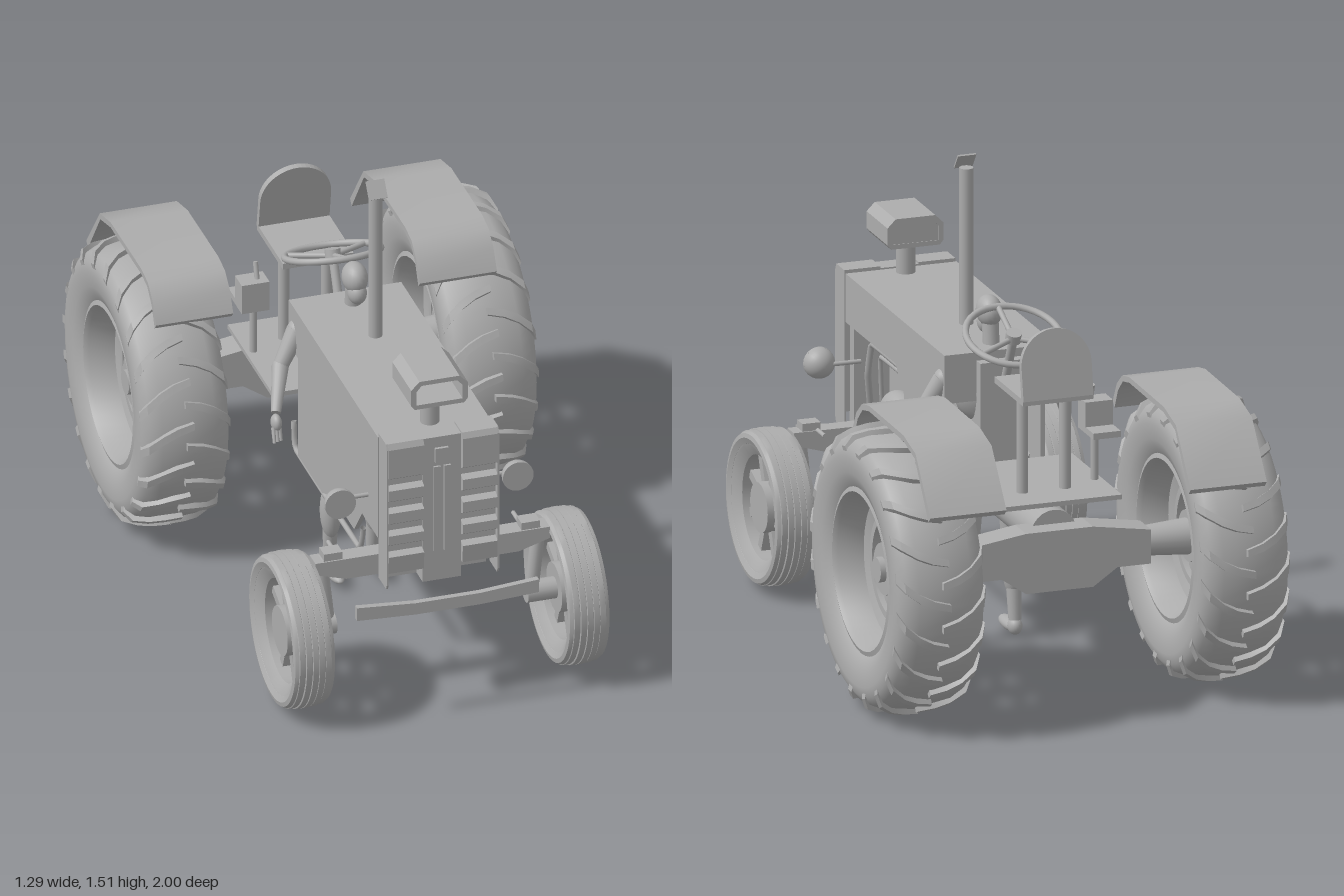
import * as THREE from 'three';
import { toCreasedNormals } from 'three/addons/utils/BufferGeometryUtils.js';

const V = (x, y, z) => new THREE.Vector3(x, y, z);
const grey = new THREE.MeshStandardMaterial({ color: 0xacacac, side: THREE.DoubleSide });
grey.name = 'grey';

function add(parent, name, geo, x = 0, y = 0, z = 0, rx = 0, ry = 0, rz = 0) {
  const m = new THREE.Mesh(geo, grey);
  m.name = name;
  m.position.set(x, y, z);
  m.rotation.set(rx, ry, rz);
  parent.add(m);
  return m;
}
// box given by its ranges
const box = (p, name, x0, x1, y0, y1, z0, z1) =>
  add(p, name, new THREE.BoxGeometry(x1 - x0, y1 - y0, z1 - z0), (x0 + x1) / 2, (y0 + y1) / 2, (z0 + z1) / 2);
// round bar from a to b, radius ra to rb
function bar(p, name, a, b, ra, rb = ra, n = 16) {
  const d = b.clone().sub(a);
  const m = add(p, name, new THREE.CylinderGeometry(rb, ra, d.length(), n), ...a.clone().add(b).multiplyScalar(0.5));
  m.quaternion.setFromUnitVectors(V(0, 1, 0), d.normalize());
  return m;
}
function ball(p, name, x, y, z, rx, ry = rx, rz = rx) {
  const m = add(p, name, new THREE.SphereGeometry(1, 20, 14), x, y, z);
  m.scale.set(rx, ry, rz);
  return m;
}
const shape = pts => new THREE.Shape(pts.map(q => new THREE.Vector2(...q)));
// side profile of [z, y] points, extruded from x0 to x1; bends under the crease angle are smoothed
function profile(p, name, pts, x0, x1, crease = 0.2) {
  const g = new THREE.ExtrudeGeometry(shape(pts), { depth: x1 - x0, bevelEnabled: false });
  return add(p, name, toCreasedNormals(g.rotateY(-Math.PI / 2).translate(x1, 0, 0), crease));
}
// [radius, x] points turned around the x axis
function turned(p, name, pts, n = 48) {
  const g = new THREE.LatheGeometry(pts.map(q => new THREE.Vector2(...q)), n).rotateZ(-Math.PI / 2);
  return add(p, name, toCreasedNormals(g, 0.6));
}
const pipe = (p, name, pts, r) =>
  add(p, name, new THREE.TubeGeometry(new THREE.CatmullRomCurve3(pts.map(q => V(...q)), false, 'catmullrom', 0.1), 32, r, 8));

// curved tread lug: rectangular section swept from the tread centre to the shoulder
function lugGeometry(s) {
  const path = [[-0.012, 0.438, 0], [0.04, 0.436, 0.03], [0.085, 0.429, 0.08], [0.122, 0.412, 0.16], [0.14, 0.39, 0.23]];
  const pos = [], idx = [];
  path.forEach(([x, r, a], i) => {
    const w = 0.03 + 0.004 * i, top = r + (i === 4 ? 0.004 : 0.018), ox = i > 2 ? 0.006 : 0;
    for (const [rr, aa, xx] of [[r - 0.02, a - w, x], [top, a - w * 0.8, x + ox], [top, a + w * 0.8, x + ox], [r - 0.02, a + w, x]])
      pos.push(s * xx, rr * Math.cos(aa), rr * Math.sin(aa));
    if (i) for (let k = 0; k < 4; k++) {
      const a0 = (i - 1) * 4 + k, a1 = (i - 1) * 4 + (k + 1) % 4;
      idx.push(...(s > 0 ? [a0, a0 + 4, a1, a1, a0 + 4, a1 + 4] : [a0, a1, a0 + 4, a1, a1 + 4, a0 + 4]));
    }
  });
  const e = 16;
  idx.push(...(s > 0 ? [e, e + 2, e + 1, e, e + 3, e + 2, 0, 1, 2, 0, 2, 3] : [e, e + 1, e + 2, e, e + 2, e + 3, 0, 2, 1, 0, 3, 2]));
  const g = new THREE.BufferGeometry();
  g.setAttribute('position', new THREE.Float32BufferAttribute(pos, 3));
  g.setIndex(idx);
  return toCreasedNormals(g, 0.5);
}
function spokes(p, n, r0, r1, w, t) {
  for (let i = 0; i < n; i++) {
    const a = (i + 0.5) / n * Math.PI * 2, r = (r0 + r1) / 2;
    add(p, 'spoke', new THREE.BoxGeometry(t, r1 - r0, w), 0, r * Math.cos(a), r * Math.sin(a), a);
  }
}
function rearWheel() {
  const g = new THREE.Group();
  g.name = 'rearWheel';
  turned(g, 'rearTyre', [[0.255, -0.11], [0.27, -0.125], [0.31, -0.139], [0.36, -0.145], [0.39, -0.14], [0.415, -0.122], [0.432, -0.085], [0.44, 0],
    [0.432, 0.085], [0.415, 0.122], [0.39, 0.14], [0.36, 0.145], [0.31, 0.139], [0.27, 0.125], [0.255, 0.11]], 64);
  turned(g, 'rearRim', [[0.265, -0.12], [0.25, -0.125], [0.24, -0.11], [0.225, -0.03], [0.18, -0.015], [0.172, -0.03], [0.15, -0.03],
    [0.15, 0.03], [0.172, 0.03], [0.18, 0.015], [0.225, 0.03], [0.24, 0.11], [0.25, 0.125], [0.265, 0.12]]);
  spokes(g, 6, 0.06, 0.16, 0.03, 0.025);
  bar(g, 'rearHub', V(-0.05, 0, 0), V(0.05, 0, 0), 0.082, 0.082, 24);
  bar(g, 'hubCap', V(-0.07, 0, 0), V(0.07, 0, 0), 0.04);
  const n = 20;
  for (const s of [1, -1]) {
    const lug = lugGeometry(s);
    for (let i = 0; i < n; i++) add(g, 'treadLug', lug, 0, 0, 0, (i + (s > 0 ? 0 : 0.5)) / n * Math.PI * 2);
  }
  return g;
}
function frontWheel() {
  const g = new THREE.Group();
  g.name = 'frontWheel';
  const tread = [];
  for (let i = -2; i <= 2; i++) {
    const x = i * 0.021, r = 0.247 - 0.0012 * i * i;
    tread.push([r - 0.003, x - 0.0105], [r, x - 0.009], [r, x + 0.009], [r - 0.003, x + 0.0105]);
  }
  turned(g, 'frontTyre', [[0.195, -0.045], [0.202, -0.058], [0.22, -0.067], [0.234, -0.064], ...tread,
    [0.234, 0.064], [0.22, 0.067], [0.202, 0.058], [0.195, 0.045]]);
  turned(g, 'frontRim', [[0.203, -0.058], [0.197, -0.056], [0.165, -0.035], [0.165, 0.035], [0.197, 0.056], [0.203, 0.058]]);
  spokes(g, 8, 0.06, 0.17, 0.03, 0.03);
  bar(g, 'frontHub', V(-0.04, 0, 0), V(0.04, 0, 0), 0.08, 0.08, 24);
  return g;
}

function body(t) {
  const c = -0.016;
  box(t, 'hood', -0.2, 0.165, 0.8, 0.957, -0.04, 0.86);
  profile(t, 'leftPanel', [[0.055, 0.455], [0.3, 0.455], [0.33, 0.74], [0.37, 0.76], [0.4, 0.8], [0.055, 0.8]], 0.15, 0.165);
  profile(t, 'rightPanel', [[0.055, 0.455], [0.3, 0.455], [0.4, 0.5], [0.62, 0.5], [0.7, 0.6], [0.86, 0.6], [0.86, 0.8], [0.055, 0.8]], -0.2, -0.185);
  box(t, 'engineBlock', -0.11, 0.07, 0.45, 0.8, 0.1, 0.72);
  box(t, 'oilPan', -0.08, 0.05, 0.41, 0.45, 0.2, 0.7);
  box(t, 'dashboard', -0.09, 0.06, 0.6, 0.93, -0.075, 0.02);
  bar(t, 'gearbox', V(c, 0.51, 0.12), V(c, 0.51, -0.53), 0.075, 0.075, 24);
  // grille: two louvred columns with plain outer plates and a centre strip
  const louvre = [[0.855, 0.51], [0.935, 0.51]];
  for (const y of [0.59, 0.665, 0.745, 0.825])
    louvre.push([0.94, y - 0.02], [0.915, y - 0.012], [0.915, y + 0.008], [0.94, y + 0.024]);
  louvre.push([0.94, 0.95], [0.93, 0.968], [0.855, 0.968]);
  const plate = [[0.855, 0.455], [0.93, 0.455], [0.937, 0.47], [0.937, 0.95], [0.928, 0.968], [0.855, 0.968]];
  profile(t, 'grilleColumn', louvre, -0.19, -0.075);
  profile(t, 'grilleColumn', louvre, 0.05, 0.163);
  profile(t, 'grilleSide', plate, -0.196, -0.19);
  profile(t, 'grilleSide', plate, 0.163, 0.169);
  box(t, 'grilleCentre', -0.075, 0.05, 0.455, 0.962, 0.855, 0.922);
  box(t, 'radiator', -0.18, 0.15, 0.455, 0.8, 0.82, 0.86);
  for (const x of [-0.029, 0.004]) box(t, 'grilleSlat', x - 0.011, x + 0.011, 0.56, 0.86, 0.92, 0.929);
  box(t, 'grillePlate', -0.036, 0.007, 0.875, 0.925, 0.92, 0.932);
  // air intake hood, open at the front
  bar(t, 'intakeNeck', V(c, 0.95, 0.81), V(c, 1.07, 0.81), 0.03);
  const s = shape([[-0.08, 0], [0.08, 0], [0.092, 0.015], [0.092, 0.07], [0.065, 0.097], [-0.065, 0.097], [-0.092, 0.07], [-0.092, 0.015]]);
  s.holes.push(new THREE.Path([[-0.075, 0.015], [0.075, 0.015], [0.075, 0.062], [0.058, 0.082], [-0.058, 0.082], [-0.075, 0.062]].map(q => new THREE.Vector2(...q))));
  add(t, 'airIntake', new THREE.ExtrudeGeometry(s, { depth: 0.19, bevelEnabled: false }), c, 1.063, 0.72);
  box(t, 'intakeBack', c - 0.077, c + 0.077, 1.075, 1.147, 0.722, 0.74);
  // exhaust stack and its flap
  bar(t, 'exhaustStack', V(-0.012, 0.95, 0.25), V(-0.012, 1.462, 0.25), 0.022);
  add(t, 'exhaustFlap', new THREE.BoxGeometry(0.06, 0.006, 0.06), -0.012, 1.48, 0.262, 0.95);
  // engine fittings on the open left side
  ball(t, 'filterTank', 0.1, 0.59, 0.535, 0.06, 0.072, 0.105);
  bar(t, 'starter', V(0.1, 0.48, 0.46), V(0.1, 0.48, 0.6), 0.032);
  bar(t, 'oilFilter', V(0.1, 0.55, 0.37), V(0.1, 0.75, 0.37), 0.03);
  pipe(t, 'fuelPipe', [[0.1, 0.5, 0.8], [0.13, 0.66, 0.75], [0.13, 0.77, 0.71], [0.13, 0.77, 0.41], [0.13, 0.7, 0.38], [0.11, 0.5, 0.33]], 0.011);
  pipe(t, 'fuelPipe', [[0.1, 0.55, 0.7], [0.12, 0.74, 0.66], [0.12, 0.74, 0.36], [0.11, 0.6, 0.32]], 0.008);
  for (const x of [-0.17, 0.14])
    pipe(t, 'lowerRail', [[x, 0.5, 0.62], [x, 0.41, 0.58], [x, 0.41, -0.06], [x, 0.5, -0.08]], 0.009);
}

function driverStation(t) {
  box(t, 'deck', -0.24, 0.2, 0.595, 0.61, -0.53, -0.08);
  box(t, 'seatPan', -0.145, 0.085, 0.93, 0.95, -0.53, -0.27);
  const s = new THREE.Shape();
  s.moveTo(-0.115, 0);
  s.lineTo(0.115, 0);
  s.lineTo(0.115, 0.105);
  s.absarc(0, 0.105, 0.115, 0, Math.PI);
  add(t, 'seatBack', new THREE.ExtrudeGeometry(s, { depth: 0.02, bevelEnabled: false }), -0.03, 0.945, -0.535, 0.17);
  for (const x of [-0.1, 0.04]) bar(t, 'seatPost', V(x, 0.6, -0.4), V(x, 0.935, -0.4), 0.018);
  box(t, 'controlBox', -0.265, -0.175, 0.77, 0.87, -0.38, -0.31);
  box(t, 'controlBox', -0.265, -0.175, 0.77, 0.79, -0.45, -0.38);
  bar(t, 'controlPost', V(-0.215, 0.6, -0.35), V(-0.215, 0.78, -0.35), 0.012);
  bar(t, 'controlLever', V(-0.205, 0.86, -0.34), V(-0.205, 0.92, -0.36), 0.008);
  // steering wheel
  const w = new THREE.Group();
  w.name = 'steeringWheel';
  w.position.set(-0.022, 1.035, -0.15);
  w.rotation.x = -0.36;
  add(w, 'steeringRim', new THREE.TorusGeometry(0.15, 0.011, 10, 40).rotateX(Math.PI / 2));
  for (let i = 0; i < 3; i++) {
    const a = i * Math.PI * 2 / 3;
    bar(w, 'steeringSpoke', V(0, -0.01, 0), V(0.148 * Math.sin(a), 0, 0.148 * Math.cos(a)), 0.009);
  }
  bar(w, 'steeringHub', V(0, -0.02, 0), V(0, 0.012, 0), 0.025);
  t.add(w);
  bar(t, 'steeringColumn', V(-0.022, 1.03, -0.15), V(-0.022, 0.75, -0.02), 0.014);
}

function runningGear(t) {
  for (const s of [-1, 1]) {
    const r = rearWheel(), f = frontWheel();
    r.position.set(s * 0.5, 0.457, -0.54);
    f.position.set(s * 0.445, 0.263, 0.757);
    t.add(r, f);
    // curved plate fender
    const outer = [[-0.24, 0.82], [-0.275, 0.885], [-0.325, 0.927], [-0.39, 0.94], [-0.7, 0.937], [-0.81, 0.91], [-0.945, 0.74]];
    const inner = outer.map(([z, y], i) => [z + [-0.016, -0.012, -0.006, 0, 0, 0.006, 0.017][i], y - 0.018]).reverse();
    profile(t, 'fender', [...outer, ...inner], s * 0.4275 - 0.0125 - 0.125, s * 0.4275 - 0.0125 + 0.125, 0.8);
    bar(t, 'rearAxleShaft', V(s * 0.28, 0.457, -0.54), V(s * 0.48, 0.457, -0.54), 0.045, 0.06);
    // front steering knuckle
    bar(t, 'kingpin', V(s * 0.355, 0.5, 0.76), V(s * 0.33, 0.27, 0.76), 0.022);
    bar(t, 'frontSpindle', V(s * 0.31, 0.265, 0.76), V(s * 0.42, 0.265, 0.76), 0.035);
    add(t, 'knuckleCap', new THREE.BoxGeometry(0.06, 0.05, 0.05), s * 0.32, 0.5, 0.76);
    bar(t, 'steeringArm', V(s * 0.3, 0.5, 0.76), V(s * 0.3, 0.5, 0.67), 0.007);
    // headlight with domed back
    const x = s * 0.288 - 0.012;
    add(t, 'headlight', new THREE.SphereGeometry(0.05, 24, 10, 0, Math.PI * 2, 0, Math.PI / 2).rotateX(-Math.PI / 2), x, 0.7, 0.79);
    add(t, 'headlightGlass', new THREE.CylinderGeometry(0.05, 0.05, 0.008, 24).rotateX(Math.PI / 2), x, 0.7, 0.792);
    bar(t, 'headlightBracket', V(x, 0.7, 0.76), V(s * 0.15, 0.7, 0.76), 0.007);
  }
  // front axle beam
  const beam = [[-0.38, 0.5], [-0.38, 0.46], [-0.28, 0.43], [0.28, 0.43], [0.38, 0.46], [0.38, 0.5]];
  add(t, 'frontAxle', new THREE.ExtrudeGeometry(shape(beam), { depth: 0.06, bevelEnabled: false }), 0, 0, 0.73);
  // bumper bar
  const bumper = [[-0.31, 0.44], [-0.31, 0.395], [-0.12, 0.385], [0.09, 0.385], [0.28, 0.395], [0.28, 0.44], [0.09, 0.425], [-0.12, 0.425]];
  add(t, 'bumper', new THREE.ExtrudeGeometry(shape(bumper), { depth: 0.02, bevelEnabled: false }), 0, 0, 0.972);
  // rear axle housing
  const housing = [[-0.31, 0.51], [-0.31, 0.4], [-0.2, 0.4], [-0.12, 0.345], [0.1, 0.345], [0.18, 0.4], [0.3, 0.4], [0.3, 0.51], [0.1, 0.54], [-0.12, 0.54]];
  add(t, 'rearAxleHousing', new THREE.ExtrudeGeometry(shape(housing), { depth: 0.1, bevelEnabled: false }), 0, 0, -0.6);
}

// jointed standing figure
function figure(t) {
  const g = new THREE.Group(), c = -0.016;
  g.name = 'figure';
  ball(g, 'head', c, 1.057, 0.055, 0.04, 0.05, 0.054);
  ball(g, 'jaw', c, 1.015, 0.078, 0.03, 0.037, 0.036);
  bar(g, 'neck', V(c, 0.9, 0.03), V(c, 1.03, 0.045), 0.026);
  ball(g, 'chest', c, 0.82, 0.02, 0.13, 0.12, 0.075);
  ball(g, 'waist', c, 0.7, 0.025, 0.09, 0.09, 0.06);
  ball(g, 'pelvis', c, 0.6, 0.03, 0.11, 0.075, 0.07);
  for (const s of [-1, 1]) {
    const x = d => c + s * d, knee = V(x(0.07), 0.34, 0.045), elbow = V(x(0.232), 0.765, 0.025), wrist = V(x(0.28), 0.665, 0.13);
    bar(g, 'thigh', V(x(0.07), 0.59, 0.04), knee, 0.055, 0.035);
    ball(g, 'knee', ...knee, 0.031);
    ball(g, 'calf', x(0.07), 0.23, 0.03, 0.034, 0.1, 0.038);
    bar(g, 'shin', knee, V(x(0.07), 0.06, 0.015), 0.03, 0.02);
    ball(g, 'foot', x(0.073), 0.032, 0.07, 0.026, 0.02, 0.075);
    ball(g, 'heel', x(0.07), 0.04, 0.015, 0.023, 0.028, 0.028);
    ball(g, 'shoulder', x(0.165), 0.87, 0, 0.036);
    bar(g, 'upperArm', V(x(0.17), 0.87, 0), elbow, 0.033, 0.024);
    ball(g, 'elbow', ...elbow, 0.026);
    bar(g, 'forearm', elbow, wrist, 0.027, 0.016);
    ball(g, 'hand', x(0.287), 0.645, 0.155, 0.017, 0.028, 0.026);
    for (let i = 0; i < 3; i++)
      bar(g, 'finger', V(x(0.28 + i * 0.01), 0.635, 0.165), V(x(0.278 + i * 0.013), 0.592, 0.178 + i * 0.006), 0.007, 0.005, 8);
  }
  t.add(g);
}

export function createModel() {
  const t = new THREE.Group();
  t.name = 'tractor';
  body(t);
  driverStation(t);
  runningGear(t);
  figure(t);
  return t;
}
